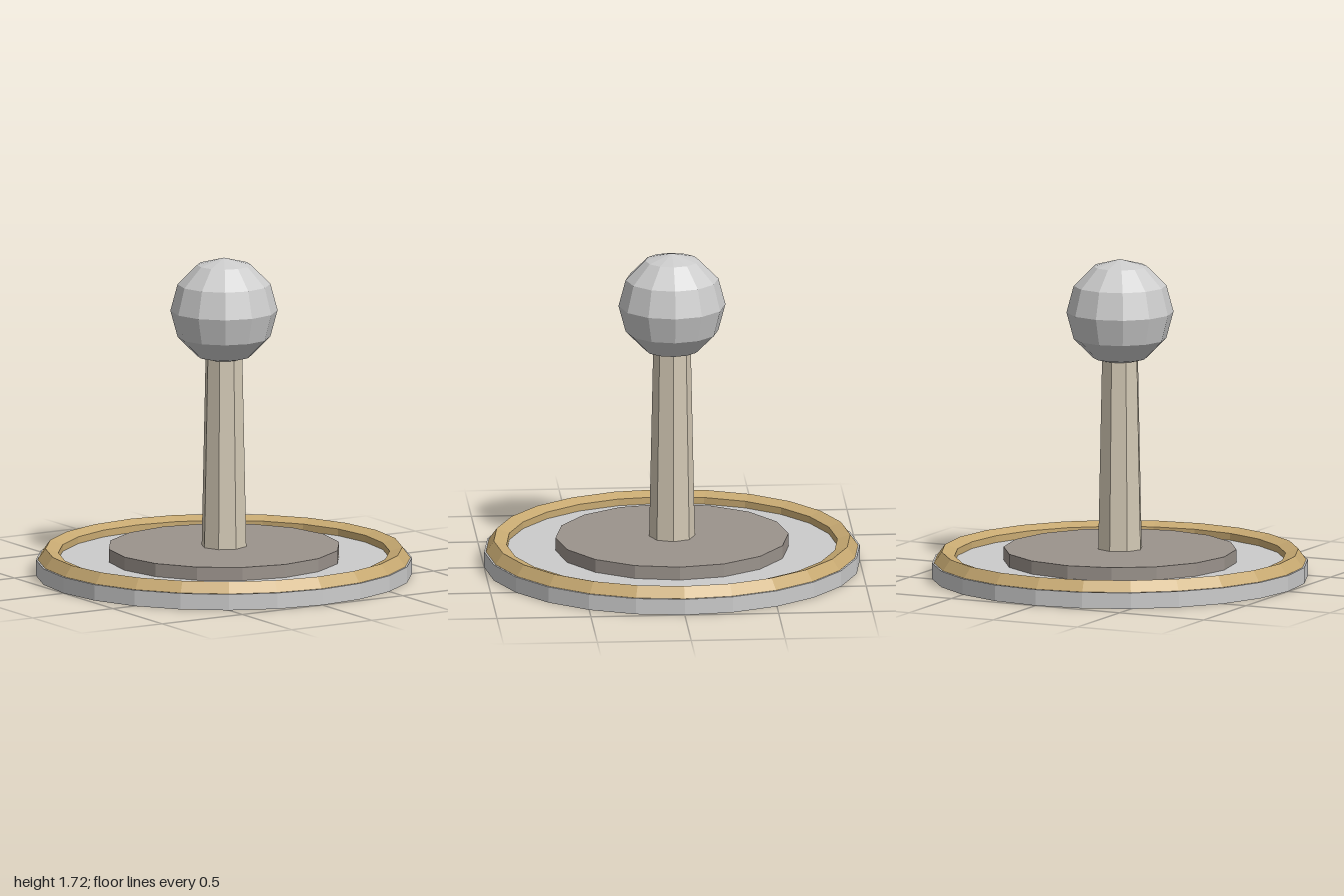
import * as THREE from 'three';

export function createModel() {
  const model = new THREE.Group();

  const add = (name, geometry, color, y) => {
    const material = new THREE.MeshStandardMaterial({ color, flatShading: true });
    const mesh = new THREE.Mesh(geometry, material);
    mesh.name = name;
    mesh.position.y = y;
    model.add(mesh);
    return mesh;
  };

  // Wide round base plate
  add('base', new THREE.CylinderGeometry(1, 1, 0.086, 24), 0xcccccc, 0.043);

  // Five-sided trim ring, half sunk into the rim of the base
  const ring = new THREE.TorusGeometry(0.93, 0.061, 5, 24);
  ring.rotateX(-Math.PI / 2);
  add('trimRing', ring, 0xc8aa72, 0.087);

  // Raised disc in the middle of the base
  add('disc', new THREE.CylinderGeometry(0.62, 0.62, 0.077, 16), 0x9b938c, 0.1185);

  // Tapered eight-sided post, ending inside the ball
  add('post', new THREE.CylinderGeometry(0.1, 0.122, 1.05, 8), 0xd2c8b4, 0.675);

  // Faceted ball on top
  add('ball', new THREE.SphereGeometry(0.285, 12, 6), 0xcccccc, 1.43);

  return model;
}
